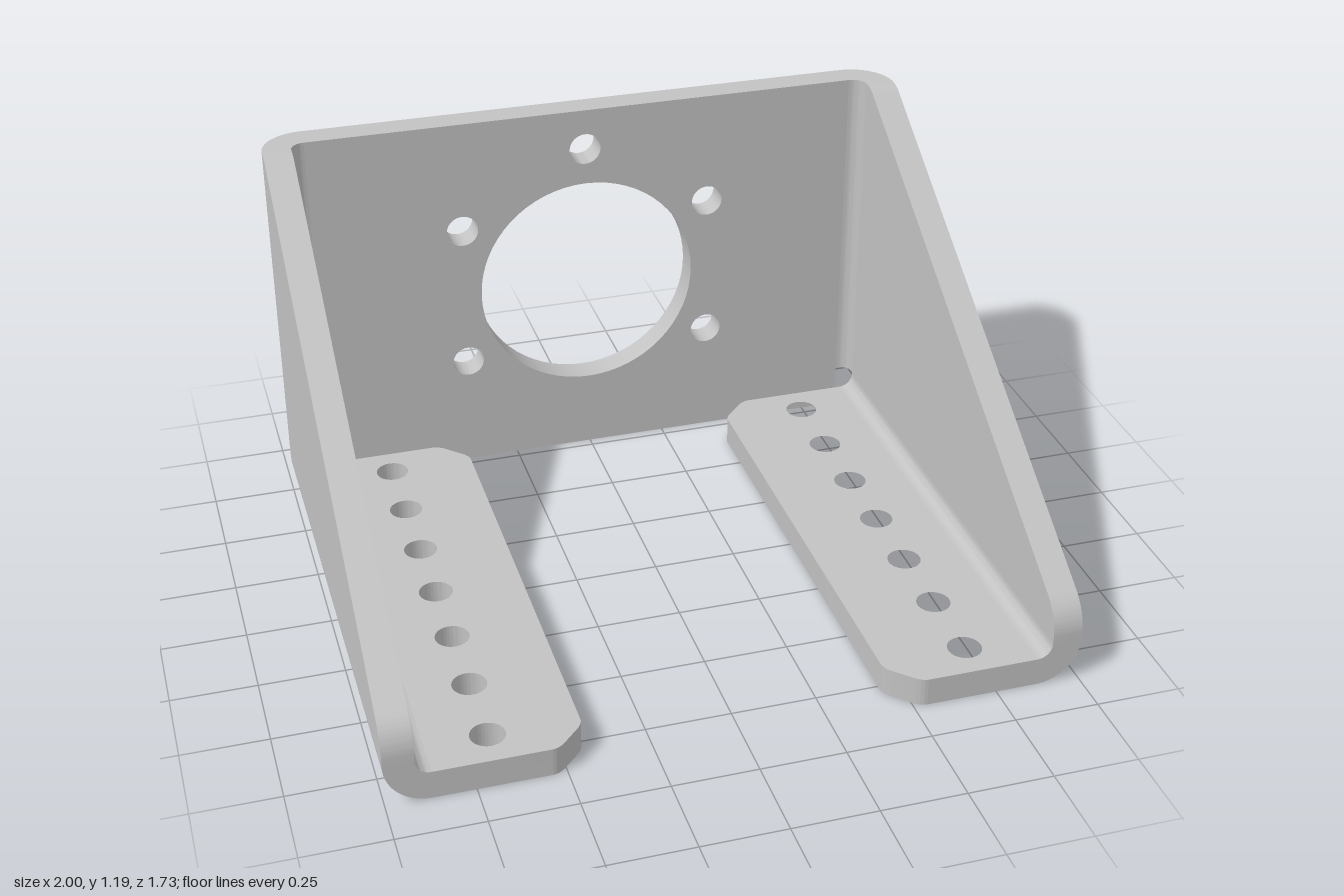
import * as THREE from 'three';
import { toCreasedNormals } from 'three/addons/utils/BufferGeometryUtils.js';

const T = 0.087;            // sheet thickness
const R = 0.13;             // outer bend radius
const W = 1, H = 1.19;      // half width, height
const BACK = -0.868, FRONT = 0.866;
const BX = W - R, BZ = BACK + R; // bend axis positions
const HOLE = 0.05, RELIEF = 0.14;

const smooth = (g) => toCreasedNormals(g, 0.6);

function addHole(shape, x, y, r) {
  const path = new THREE.Path();
  path.absarc(x, y, r, 0, Math.PI * 2, true);
  shape.holes.push(path);
}

function plate(shape) {
  return smooth(new THREE.ExtrudeGeometry(shape, { depth: T, bevelEnabled: false, curveSegments: 32 }));
}

// Quarter ring of sheet metal, open where it meets the flat plates
function bend(length, phiStart) {
  const profile = [[R - T, 0], [R, 0], [R, length], [R - T, length], [R - T, 0]]
    .map(([x, y]) => new THREE.Vector2(x, y));
  return smooth(new THREE.LatheGeometry(profile, 16, phiStart, Math.PI / 2));
}

function backShape() {
  const c = 0.09, s = new THREE.Shape();
  s.moveTo(-BX + c, 0);
  s.lineTo(BX - c, 0);
  s.absarc(BX - c, c, c, -Math.PI / 2, 0, false);
  s.lineTo(BX, H);
  s.lineTo(-BX, H);
  s.lineTo(-BX, c);
  s.absarc(-BX + c, c, c, Math.PI, Math.PI * 1.5, false);
  // Large centre opening and the five bolt holes around it
  addHole(s, 0, 0.595, 0.348);
  for (const [x, y] of [[0, 1.06], [0.4, 0.83], [-0.4, 0.83], [0.4, 0.365], [-0.4, 0.365]]) addHole(s, x, y, HOLE);
  return s;
}

// Sloping side, drawn with depth running backwards along x
function sideShape() {
  const s = new THREE.Shape();
  s.moveTo(-FRONT, R);
  s.lineTo(-FRONT, 0.15);
  s.quadraticCurveTo(-FRONT, 0.225, -0.8, 0.265);
  s.lineTo(0.675, 1.173);
  s.quadraticCurveTo(0.702, H, 0.733, H);
  s.lineTo(-BZ, H);
  s.lineTo(-BZ, R);
  return s;
}

// Foot with clipped inner corners and a row of seven holes
function footShape(side) {
  const inner = 0.437, c = 0.085, k = 0.02, s = new THREE.Shape();
  s.moveTo(side * BX, BZ);
  s.lineTo(side * (inner + c + k), BZ);
  s.quadraticCurveTo(side * (inner + c), BZ, side * (inner + c - k), BZ + k);
  s.lineTo(side * (inner + k), BZ + c - k);
  s.quadraticCurveTo(side * inner, BZ + c, side * inner, BZ + c + k);
  s.lineTo(side * inner, FRONT - c - k);
  s.quadraticCurveTo(side * inner, FRONT - c, side * (inner + k), FRONT - c + k);
  s.lineTo(side * (inner + c - k), FRONT - k);
  s.quadraticCurveTo(side * (inner + c), FRONT, side * (inner + c + k), FRONT);
  s.lineTo(side * BX, FRONT);
  for (let i = 0; i < 7; i++) addHole(s, side * 0.694, -0.631 + i * 0.231, HOLE);
  return s;
}

export function createModel() {
  const model = new THREE.Group();
  model.name = 'mountingBracket';
  const steel = new THREE.MeshStandardMaterial({ color: 0xc2c2c2 });
  steel.name = 'grey steel';

  const add = (name, geometry, x, y, z) => {
    const mesh = new THREE.Mesh(geometry, steel);
    mesh.name = name;
    mesh.position.set(x, y, z);
    model.add(mesh);
  };

  add('backPlate', plate(backShape()), 0, 0, BACK);

  for (const side of [1, -1]) {
    const label = side > 0 ? 'left' : 'right';
    add(label + 'SidePlate', plate(sideShape()).rotateY(Math.PI / 2), side > 0 ? W - T : -W, 0, 0);
    add(label + 'Foot', plate(footShape(side)).rotateX(Math.PI / 2), 0, T, 0);
    // Vertical bend to the back plate, stopping above the corner relief
    add(label + 'BackBend', bend(H - RELIEF, side > 0 ? Math.PI / 2 : Math.PI), side * BX, RELIEF, BZ);
    // Bend along the bottom of the side
    add(label + 'FootBend', bend(FRONT - BZ, side > 0 ? 0 : -Math.PI / 2).rotateX(Math.PI / 2), side * BX, R, BZ);
  }
  return model;
}
